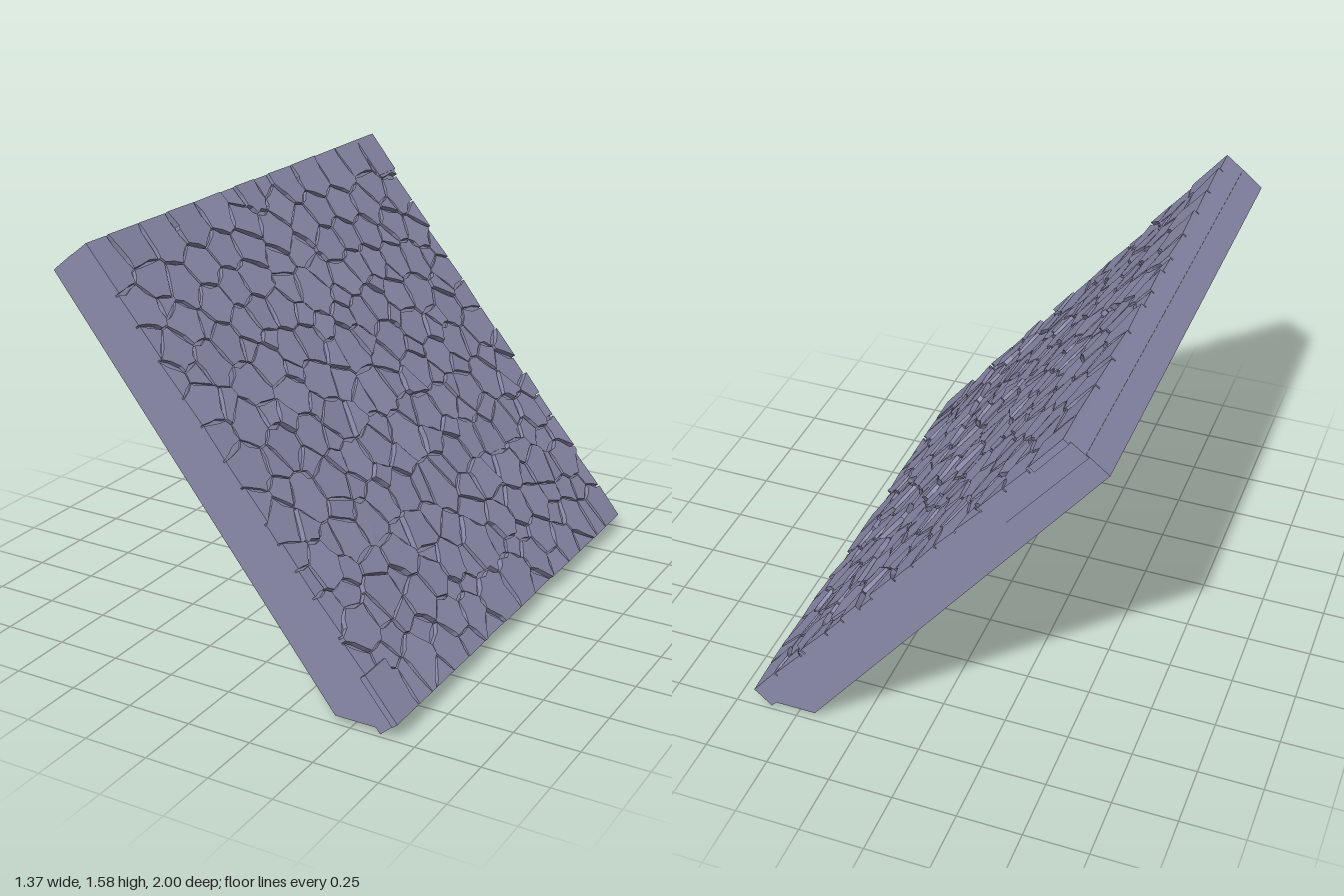
import * as THREE from 'three';

const W = 0.985;                          // half width of the slab
const LOW = new THREE.Vector3(0.667, 0.052, 0);   // lower edge of the facing plane
const HIGH = new THREE.Vector3(-0.555, 1.565, 0); // upper edge
const LENGTH = LOW.distanceTo(HIGH);
const UP = HIGH.clone().sub(LOW).normalize();
const OUT = new THREE.Vector3(UP.y, -UP.x, 0);

// Large stone centres as [z, y] for one half; the other half is mirrored
const CENTRES = [
  [0, 1.53], [0.25, 1.51], [0.42, 1.5], [0.6, 1.49], [0.78, 1.5], [0.92, 1.48],
  [0.13, 1.46], [0, 1.39], [0.2, 1.38], [0.34, 1.4], [0.5, 1.38], [0.66, 1.35], [0.9, 1.34],
  [0.78, 1.4], [0.28, 1.29], [0.41, 1.29], [0.55, 1.27], [0.76, 1.26],
  [0, 1.18], [0.24, 1.17], [0.36, 1.19], [0.47, 1.18], [0.62, 1.16], [0.88, 1.2], [0.75, 1.13],
  [0, 0.98], [0.2, 1.05], [0.32, 1.06], [0.48, 1.05], [0.64, 1.02], [0.9, 1.04], [0.28, 0.94], [0.46, 0.94], [0.76, 0.94],
  [0, 0.82], [0.32, 0.82], [0.5, 0.82], [0.66, 0.83], [0.88, 0.83],
  [0, 0.67], [0.2, 0.69], [0.36, 0.69], [0.54, 0.68], [0.72, 0.68], [0.9, 0.66],
  [0, 0.49], [0.22, 0.54], [0.36, 0.55], [0.48, 0.52], [0.64, 0.52], [0.85, 0.5], [0.28, 0.42], [0.46, 0.4],
  [0, 0.28], [0.22, 0.29], [0.36, 0.29], [0.5, 0.27], [0.66, 0.34], [0.86, 0.31],
  [0.12, 0.13], [0.27, 0.14], [0.4, 0.17], [0.52, 0.11], [0.68, 0.14], [0.9, 0.13],
];

function seeded(seed) {
  return () => {
    seed = (seed * 16807) % 2147483647;
    return seed / 2147483647;
  };
}

// All stone centres in the facing plane: the large ones, then small fillers in the gaps
function layOutStones() {
  const seeds = [];
  const place = (x, y, id, weight) => {
    for (const side of x === 0 ? [1] : [1, -1]) seeds.push({ x: side * x, y, side, id, weight });
  };
  CENTRES.forEach(([z, y], id) => place(z, (y - LOW.y) / UP.y, id, 0.004));
  const rand = seeded(4711);
  for (let id = CENTRES.length; id < CENTRES.length + 1500; id++) {
    const x = 0.06 + 0.9 * rand(), y = 0.03 + (LENGTH - 0.06) * rand();
    if (seeds.every((s) => Math.hypot(s.x - x, s.y - y) > 0.092)) place(x, y, id, 0);
  }
  return seeds;
}

// Keep the part of a convex polygon where a*x + b*y <= c
function clip(poly, a, b, c) {
  const out = [];
  poly.forEach((p, i) => {
    const q = poly[(i + 1) % poly.length];
    const dp = a * p[0] + b * p[1] - c, dq = a * q[0] + b * q[1] - c;
    if (dp <= 0) out.push(p);
    if (dp * dq < 0) {
      const t = dp / (dp - dq);
      out.push([p[0] + t * (q[0] - p[0]), p[1] + t * (q[1] - p[1])]);
    }
  });
  return out;
}

// Cell of one stone: its weighted nearest-centre region less half a joint width
function stoneOutline(seed, seeds, joint) {
  let poly = [[-W, 0], [W, 0], [W, LENGTH], [-W, LENGTH]];
  for (const other of seeds) {
    if (other === seed) continue;
    const dx = other.x - seed.x, dy = other.y - seed.y, d = Math.hypot(dx, dy);
    const a = dx / d, b = dy / d;
    const reach = d / 2 + (seed.weight - other.weight) / (2 * d) - joint;
    poly = clip(poly, a, b, a * seed.x + b * seed.y + reach);
  }
  return poly;
}

// Chip long inner edges inwards so the outline is irregular
function chip(poly, cx, cy, rand) {
  const onRim = ([x, y], [u, v]) =>
    (Math.abs(x - u) < 1e-6 && Math.abs(x) > W - 1e-6) ||
    (Math.abs(y - v) < 1e-6 && (y < 1e-6 || y > LENGTH - 1e-6));
  const out = [];
  poly.forEach((p, i) => {
    const q = poly[(i + 1) % poly.length];
    out.push(p);
    const len = Math.hypot(q[0] - p[0], q[1] - p[1]);
    if (len < 0.05 || onRim(p, q)) return;
    for (const start of len > 0.1 ? [0.15, 0.55] : [0.35]) {
      const t = start + 0.3 * rand(), pull = 0.16 * rand();
      const x = p[0] + t * (q[0] - p[0]), y = p[1] + t * (q[1] - p[1]);
      out.push([x + (cx - x) * pull, y + (cy - y) * pull]);
    }
  });
  return out;
}

function addStone(positions, seed, seeds) {
  const rand = seeded(seed.id * 7919 + 101);
  for (let i = 0; i < 4; i++) rand();
  const height = 0.005 + 0.018 * rand();
  const tiltX = (rand() - 0.5) * 0.08 * seed.side, tiltY = (rand() - 0.65) * 0.08;
  const poly = chip(stoneOutline(seed, seeds, 0.003), seed.x, seed.y, rand);
  const top = poly.map(([x, y]) => {
    const h = height + tiltX * (x - seed.x) + tiltY * (y - seed.y);
    return [x, y, THREE.MathUtils.clamp(h, 0.003, 0.028)];
  });
  top.forEach((p, i) => {
    const q = top[(i + 1) % top.length];
    const pb = [p[0], p[1], -0.01], qb = [q[0], q[1], -0.01];
    positions.push(seed.x, seed.y, height, ...p, ...q);
    positions.push(...pb, ...qb, ...q, ...pb, ...q, ...p);
  });
}

function prism(points, halfWidth, material, name) {
  const shape = new THREE.Shape(points.map(([x, y]) => new THREE.Vector2(x, y)));
  const geometry = new THREE.ExtrudeGeometry(shape, { depth: 2 * halfWidth, bevelEnabled: false });
  geometry.translate(0, 0, -halfWidth);
  const mesh = new THREE.Mesh(geometry, material);
  mesh.name = name;
  return mesh;
}

export function createModel() {
  const model = new THREE.Group();
  model.name = 'slopedStoneWall';
  const material = new THREE.MeshStandardMaterial({ color: 0x8a8aaa, flatShading: true });

  // Backing wedge and the panel that carries the stones
  model.add(prism([[-0.69, 1.46], [0.43, 0.02], [0.61, 0.02], [-0.61, 1.525]], W - 0.003, material, 'backing'));
  model.add(prism([[-0.62, 1.515], [0.61, 0], [LOW.x, LOW.y], [HIGH.x, HIGH.y]], W, material, 'panel'));

  // Stone facing, laid out flat and then leaned onto the panel
  const seeds = layOutStones();
  const positions = [];
  seeds.forEach((seed) => addStone(positions, seed, seeds));
  const geometry = new THREE.BufferGeometry();
  geometry.setAttribute('position', new THREE.Float32BufferAttribute(positions, 3));
  geometry.computeVertexNormals();
  const lean = new THREE.Matrix4().makeBasis(new THREE.Vector3(0, 0, -1), UP, OUT).setPosition(LOW);
  geometry.applyMatrix4(lean);
  const stones = new THREE.Mesh(geometry, material);
  stones.name = 'stoneFacing';
  model.add(stones);

  // Two corner stones that stick out past the sides
  for (const [x, y, height] of [[0.93, LENGTH - 0.09, 0.18], [-0.93, 0.1, 0.2]]) {
    const corner = new THREE.BoxGeometry(0.14, height, 0.026);
    corner.translate(x, y, 0.009);
    corner.applyMatrix4(lean);
    const mesh = new THREE.Mesh(corner, material);
    mesh.name = 'cornerStone';
    model.add(mesh);
  }
  return model;
}
